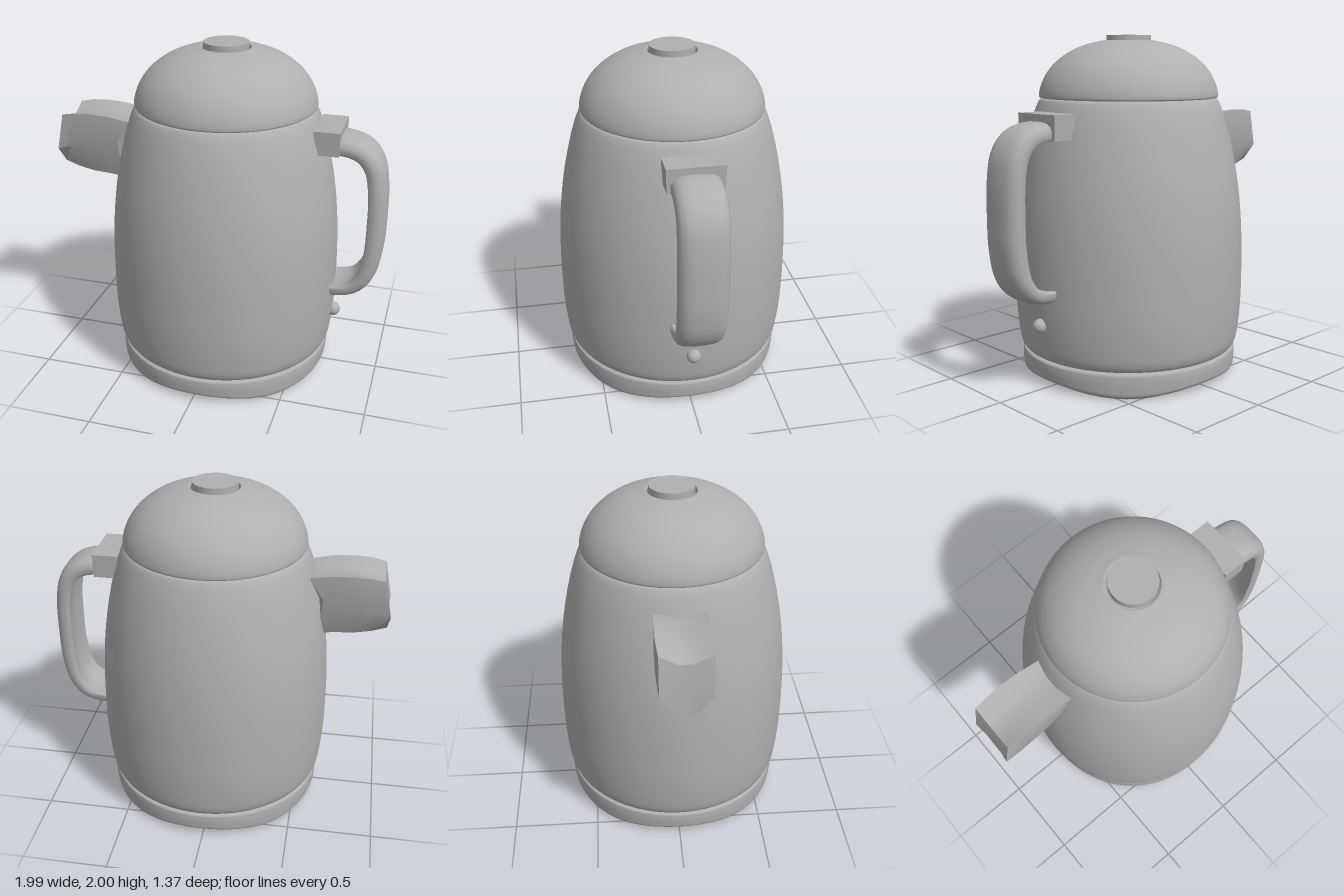
import * as THREE from 'three';
import { toCreasedNormals } from 'three/addons/utils/BufferGeometryUtils.js';

const AXIS = 0.025; // x of the pot's axis
const grey = new THREE.MeshStandardMaterial({ color: 0xb0b0b0, side: THREE.DoubleSide });
grey.name = 'grey';

function part(name, geometry, x = 0, y = 0, z = 0) {
  const mesh = new THREE.Mesh(geometry, grey);
  mesh.name = name;
  mesh.position.set(x, y, z);
  return mesh;
}

// smooth curve through profile points, turned round the axis
function turned(points, steps = 48) {
  const curve = new THREE.CatmullRomCurve3(points.map(([r, y]) => new THREE.Vector3(r, y, 0)), false, 'centripetal');
  const profile = curve.getPoints(steps).map(p => new THREE.Vector2(p.x, p.y));
  return new THREE.LatheGeometry(profile, 96);
}

// skin over rings of points, closed with a fan at both ends
function loft(rings, crease) {
  const n = rings[0].length;
  const pos = rings.flat().flatMap(p => [p.x, p.y, p.z]);
  const index = [];
  for (let r = 0; r < rings.length - 1; r++) {
    for (let i = 0; i < n; i++) {
      const a = r * n + i, b = r * n + (i + 1) % n;
      index.push(a, b, a + n, b, b + n, a + n);
    }
  }
  [0, rings.length - 1].forEach((r, end) => {
    const c = new THREE.Vector3();
    rings[r].forEach(p => c.addScaledVector(p, 1 / n));
    const centre = pos.length / 3;
    pos.push(c.x, c.y, c.z);
    for (let i = 0; i < n; i++) {
      const a = r * n + i, b = r * n + (i + 1) % n;
      if (end) index.push(centre, a, b); else index.push(centre, b, a);
    }
  });
  const g = new THREE.BufferGeometry();
  g.setAttribute('position', new THREE.Float32BufferAttribute(pos, 3));
  g.setIndex(index);
  return toCreasedNormals(g, crease);
}

// base ring with a gently waving lower edge
function baseGeometry() {
  const g = turned([[0.625, 0.02], [0.642, 0.035], [0.648, 0.07], [0.65, 0.12], [0.645, 0.145], [0.6, 0.152]], 30);
  const p = g.attributes.position;
  for (let i = 0; i < p.count; i++) {
    const angle = Math.atan2(p.getZ(i), p.getX(i));
    const fade = THREE.MathUtils.clamp((0.15 - p.getY(i)) / 0.13, 0, 1);
    p.setY(i, p.getY(i) + fade * (0.015 * Math.cos(4 * angle) - 0.005));
  }
  g.computeVertexNormals();
  return g;
}

// spout: notched top, upright sides and a keel-like underside
function spoutGeometry() {
  // x at top, x at bottom, top y, notch y, side foot y, keel y, half width
  const rows = [
    [-0.53, -0.60, 1.51, 1.48, 1.38, 1.11, 0.14],
    [-0.66, -0.68, 1.535, 1.50, 1.365, 1.122, 0.148],
    [-0.78, -0.80, 1.54, 1.495, 1.345, 1.13, 0.15],
    [-0.88, -0.90, 1.535, 1.48, 1.325, 1.15, 0.147],
    [-0.955, -0.985, 1.52, 1.455, 1.30, 1.18, 0.14],
  ];
  return loft(rows.map(([xt, xb, top, notch, foot, keel, w]) => [
    [xb - 0.013, foot, w], [xt, top, w], [xt, notch + 0.012, 0.04], [xt, notch + 0.012, -0.04],
    [xt, top, -w], [xb - 0.013, foot, -w],
    [xb, keel + 0.02, -0.07], [xb, keel, -0.025], [xb, keel, 0.025], [xb, keel + 0.02, 0.07],
  ].map(p => new THREE.Vector3(...p))), 0.6);
}

// handle: broad band, domed outside and hollowed inside, swept along a bow
function handleGeometry() {
  const path = new THREE.CatmullRomCurve3([
    [0.66, 1.48], [0.76, 1.475], [0.85, 1.44], [0.91, 1.36], [0.938, 1.22], [0.944, 1.02],
    [0.938, 0.84], [0.905, 0.68], [0.84, 0.595], [0.77, 0.567], [0.705, 0.56],
  ].map(([x, y]) => new THREE.Vector3(x, y, 0)), false, 'centripetal');
  const section = [
    [0.05, 0], [0.049, 0.05], [0.043, 0.09], [0.027, 0.12], [0, 0.135], [-0.035, 0.136], [-0.05, 0.125],
    [-0.046, 0.1], [-0.035, 0.05], [-0.03, 0], [-0.035, -0.05], [-0.046, -0.1],
    [-0.05, -0.125], [-0.035, -0.136], [0, -0.135], [0.027, -0.12], [0.043, -0.09], [0.049, -0.05],
  ];
  const rings = [];
  for (let i = 0; i <= 48; i++) {
    const p = path.getPointAt(i / 48), t = path.getTangentAt(i / 48);
    const slim = 1 - 0.2 * Math.max(0, i / 48 - 0.75) / 0.25;
    rings.push(section.map(([n, z]) => new THREE.Vector3(p.x - t.y * n * slim, p.y + t.x * n * slim, z)));
  }
  return loft(rings, 0.75);
}

export function createModel() {
  const model = new THREE.Group();
  model.name = 'kettle';

  model.add(part('base', baseGeometry(), AXIS));
  model.add(part('body', turned([
    [0.6, 0.152], [0.638, 0.158], [0.658, 0.19], [0.672, 0.27], [0.684, 0.42], [0.687, 0.58], [0.684, 0.8],
    [0.671, 1.0], [0.645, 1.2], [0.604, 1.4], [0.565, 1.54], [0.535, 1.615], [0.522, 1.632], [0.5, 1.637],
  ], 72), AXIS));
  // dome lid is open at the middle, leaving a fine gap round the button
  model.add(part('lid', turned([
    [0.5, 1.638], [0.526, 1.641], [0.53, 1.655], [0.515, 1.72], [0.475, 1.795], [0.42, 1.855],
    [0.34, 1.91], [0.25, 1.947], [0.19, 1.962], [0.142, 1.969], [0.14, 1.95],
  ], 60), AXIS));
  model.add(part('lidButton', new THREE.CylinderGeometry(0.131, 0.131, 0.045, 64), AXIS, 1.9775));

  model.add(part('spout', spoutGeometry()));
  model.add(part('handle', handleGeometry()));

  // bracket: block tapering slightly towards its underside
  const block = new THREE.BoxGeometry(0.15, 0.14, 0.32);
  const p = block.attributes.position;
  for (let i = 0; i < p.count; i++) {
    if (p.getY(i) < 0) p.setXYZ(i, p.getX(i) + (p.getX(i) < 0 ? 0.02 : -0.003), p.getY(i), p.getZ(i) * 0.97);
  }
  block.computeVertexNormals();
  model.add(part('handleBracket', block, 0.643, 1.5));

  model.add(part('knob', new THREE.SphereGeometry(0.042, 32, 20), 0.715, 0.375));
  return model;
}
